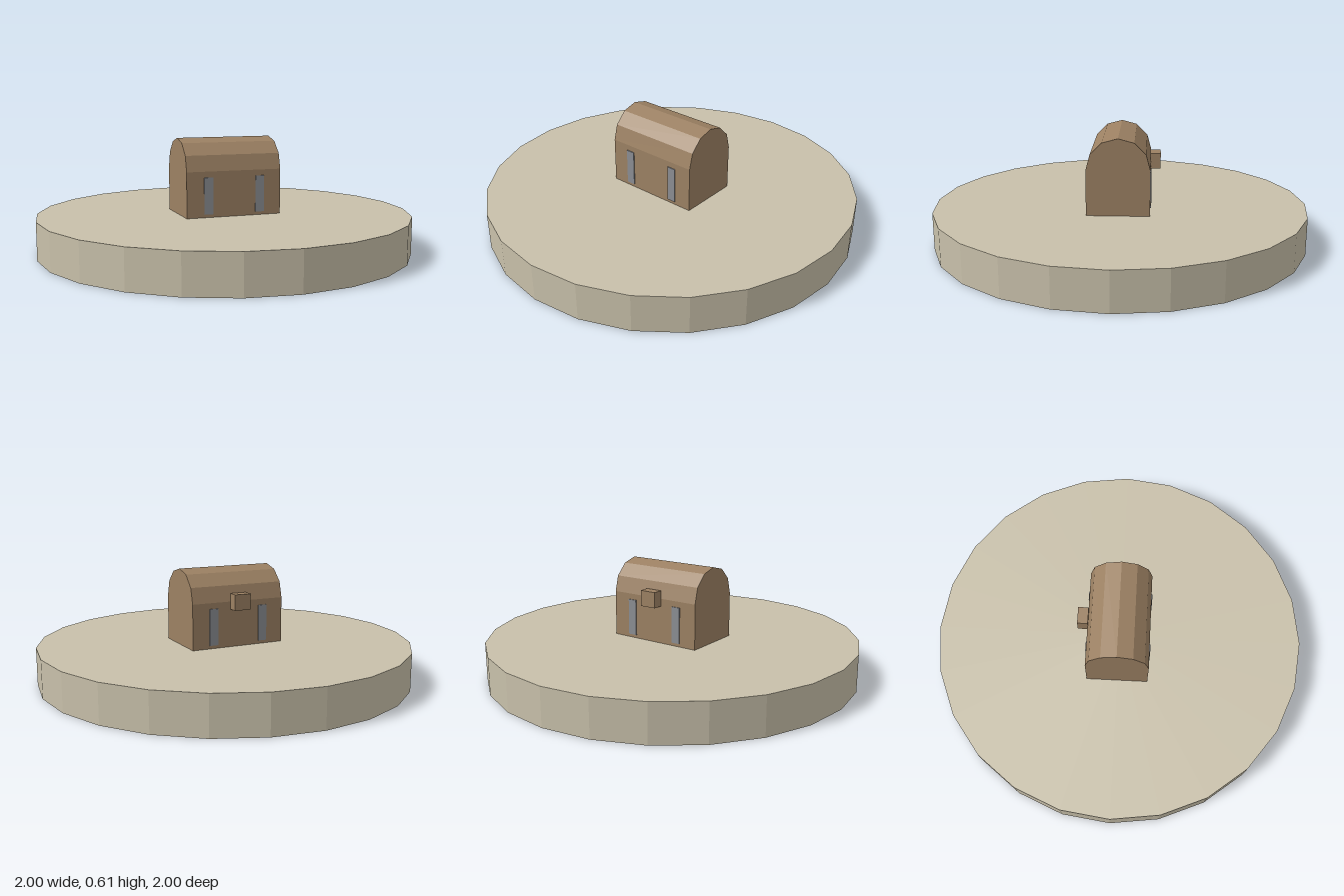
import * as THREE from 'three';

export function createModel() {
  const group = new THREE.Group();
  const mat = (name, color) => {
    const m = new THREE.MeshStandardMaterial({ color, flatShading: true });
    m.name = name;
    return m;
  };
  const sand = mat('sand', 0xc8c0aa);
  const brown = mat('brown', 0x9c8163);
  const grey = mat('grey', 0x8b8e93);

  const add = (name, geometry, material, x = 0, y = 0, z = 0) => {
    const mesh = new THREE.Mesh(geometry, material);
    mesh.name = name;
    mesh.position.set(x, y, z);
    group.add(mesh);
    return mesh;
  };

  // Round ground slab
  add('groundDisc', new THREE.CylinderGeometry(1, 1, 0.2, 24), sand, 0, 0.1, 0);

  // Barrel-roofed hut: arched cross-section extruded along x
  const R = 0.165, length = 0.52, wallHeight = 0.24;
  const profile = new THREE.Shape();
  profile.moveTo(-R, 0);
  profile.lineTo(R, 0);
  for (let i = 0; i <= 6; i++) {
    const a = (i / 6) * Math.PI;
    profile.lineTo(R * Math.cos(a), wallHeight + R * Math.sin(a));
  }
  const hut = new THREE.ExtrudeGeometry(profile, { depth: length, bevelEnabled: false });
  hut.translate(0, 0, -length / 2);
  hut.rotateY(Math.PI / 2);
  add('hut', hut, brown, 0, 0.2, 0);

  // Tall narrow windows on both long walls
  for (const side of [1, -1]) {
    for (const x of [-0.142, 0.142]) {
      add('window', new THREE.BoxGeometry(0.048, 0.192, 0.008), grey, x, 0.313, side * (R + 0.001));
    }
  }

  // Small box on the back wall
  add('wallBox', new THREE.BoxGeometry(0.09, 0.083, 0.055), brown, 0, 0.441, -0.19);

  return group;
}
